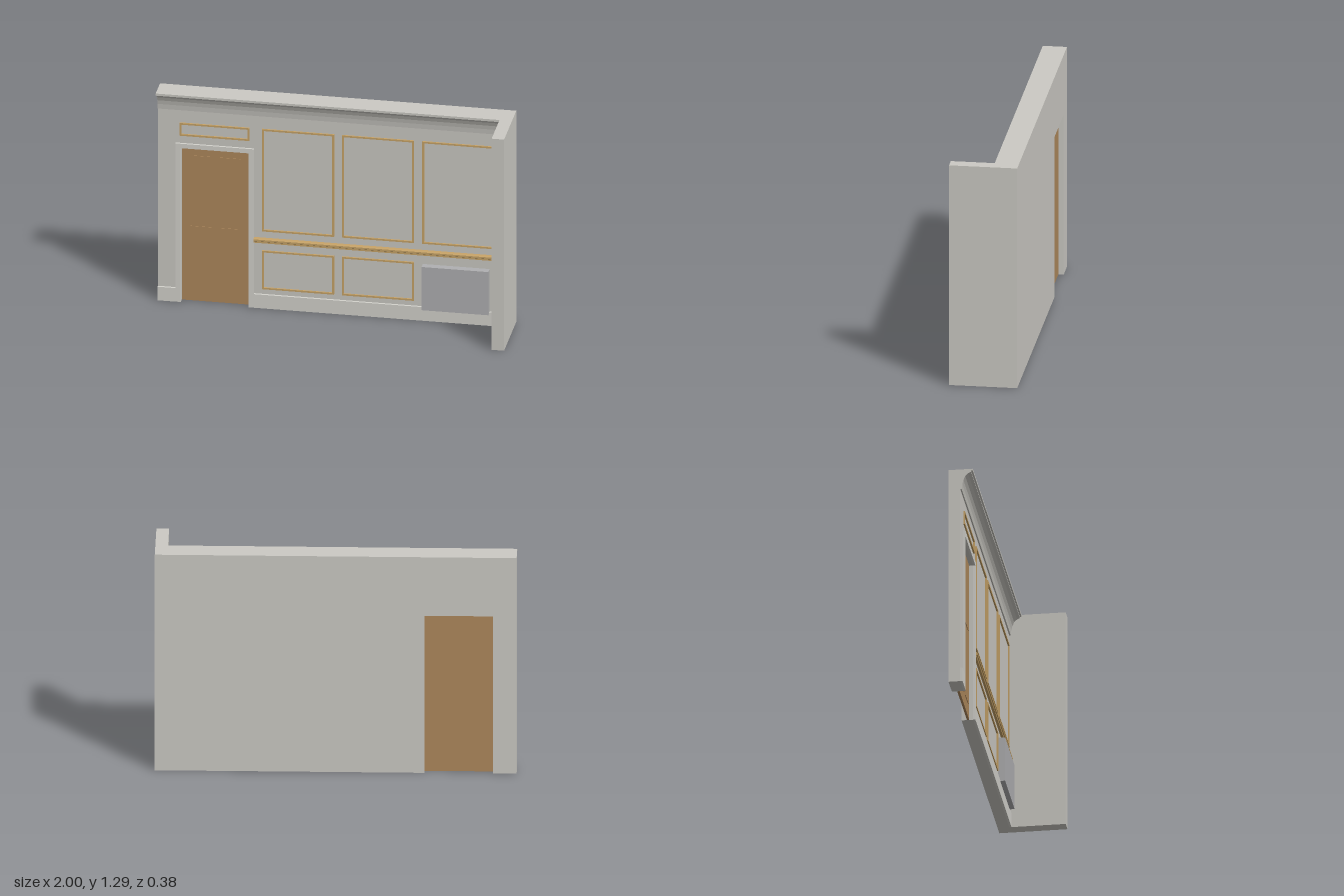
import * as THREE from 'three';

const mat = (color) => new THREE.MeshStandardMaterial({ color });
const BACK = -0.19, FACE = -0.125, RIGHT = 0.93;

export function createModel() {
  const group = new THREE.Group();
  const plaster = mat(0xcccac4), white = mat(0xd4d3cd), gold = mat(0xc8a468);
  const wood = mat(0xae885c), metal = mat(0xb0b0b2);

  const add = (name, geometry, material) => {
    const mesh = new THREE.Mesh(geometry, material);
    mesh.name = name;
    group.add(mesh);
    return mesh;
  };
  // Box given by its limits on each axis
  const box = (name, material, x0, x1, y0, y1, z0, z1) =>
    add(name, new THREE.BoxGeometry(x1 - x0, y1 - y0, z1 - z0), material)
      .position.set((x0 + x1) / 2, (y0 + y1) / 2, (z0 + z1) / 2);
  const rect = (Type, x0, y0, x1, y1) => {
    const s = new Type();
    s.moveTo(x0, y0);
    s.lineTo(x1, y0);
    s.lineTo(x1, y1);
    s.lineTo(x0, y1);
    s.closePath();
    return s;
  };
  const extrude = (shape, depth) =>
    new THREE.ExtrudeGeometry(shape, { depth, bevelEnabled: false });
  // Moulding run along x from a (depth, height) profile
  const moulding = (name, material, profile, x0, x1) => {
    const shape = new THREE.Shape(profile.map(([d, y]) => new THREE.Vector2(-d, y)));
    const mesh = add(name, extrude(shape, x1 - x0), material);
    mesh.rotation.y = Math.PI / 2;
    mesh.position.set(x0, 0, FACE);
  };

  // Main wall outline runs around the doorway
  const outline = (x0, x1, top, left, right, head) => new THREE.Shape([
    [x0, 0], [left, 0], [left, head], [right, head], [right, 0], [x1, 0], [x1, top], [x0, top],
  ].map(([x, y]) => new THREE.Vector2(x, y)));
  add('backWall', extrude(outline(-1, RIGHT, 1.29, -0.87, -0.49, 0.94), FACE - BACK), plaster)
    .position.z = BACK;
  box('sideWall', plaster, RIGHT, 1, 0, 1.29, BACK, 0.19);

  // Door surround
  add('doorTrim', extrude(outline(-0.9, -0.46, 0.967, -0.87, -0.49, 0.94), 0.012), white)
    .position.z = FACE;

  // Door leaf with four slightly raised panels
  box('door', wood, -0.87, -0.49, 0, 0.94, -0.16, -0.147);
  for (const [x0, x1] of [[-0.82, -0.7], [-0.66, -0.54]])
    for (const [y0, y1] of [[0.075, 0.455], [0.52, 0.885]])
      box('doorPanel', wood, x0, x1, y0, y1, -0.15, -0.144);

  // Skirting on both sides of the door
  const skirting = [[0, 0], [0.013, 0], [0.013, 0.083], [0, 0.083]];
  moulding('skirting', white, skirting, -1, -0.9);
  moulding('skirting', white, skirting, -0.46, RIGHT);

  // Crown cove under a projecting lip
  moulding('crown', plaster, [
    [0, 1.17], [0.008, 1.17], [0.012, 1.2], [0.018, 1.225], [0.028, 1.248],
    [0.044, 1.264], [0.06, 1.272], [0.06, 1.279], [0.07, 1.279], [0.07, 1.29], [0, 1.29],
  ], -1, RIGHT);

  // Chair rail
  moulding('chairRail', gold, [
    [0, 0.398], [0.014, 0.398], [0.014, 0.407], [0.02, 0.411], [0.02, 0.421],
    [0.014, 0.427], [0, 0.427],
  ], -0.46, RIGHT);

  // Gilded panel frames
  const frame = (x0, x1, y0, y1) => {
    const w = 0.01;
    const shape = rect(THREE.Shape, x0, y0, x1, y1);
    shape.holes.push(rect(THREE.Path, x0 + w, y0 + w, x1 - w, y1 - w));
    add('panelFrame', extrude(shape, 0.009), gold).position.z = FACE;
  };
  const bays = [[-0.415, -0.01], [0.034, 0.438], [0.485, 0.888]];
  for (const [x0, x1] of bays) frame(x0, x1, 0.468, 1.092);
  for (const [x0, x1] of bays.slice(0, 2)) frame(x0, x1, 0.115, 0.35);
  frame(-0.877, -0.485, 1.014, 1.092);

  // Radiator cover
  box('radiator', metal, 0.487, 0.862, 0.077, 0.341, FACE, -0.085);

  return group;
}
